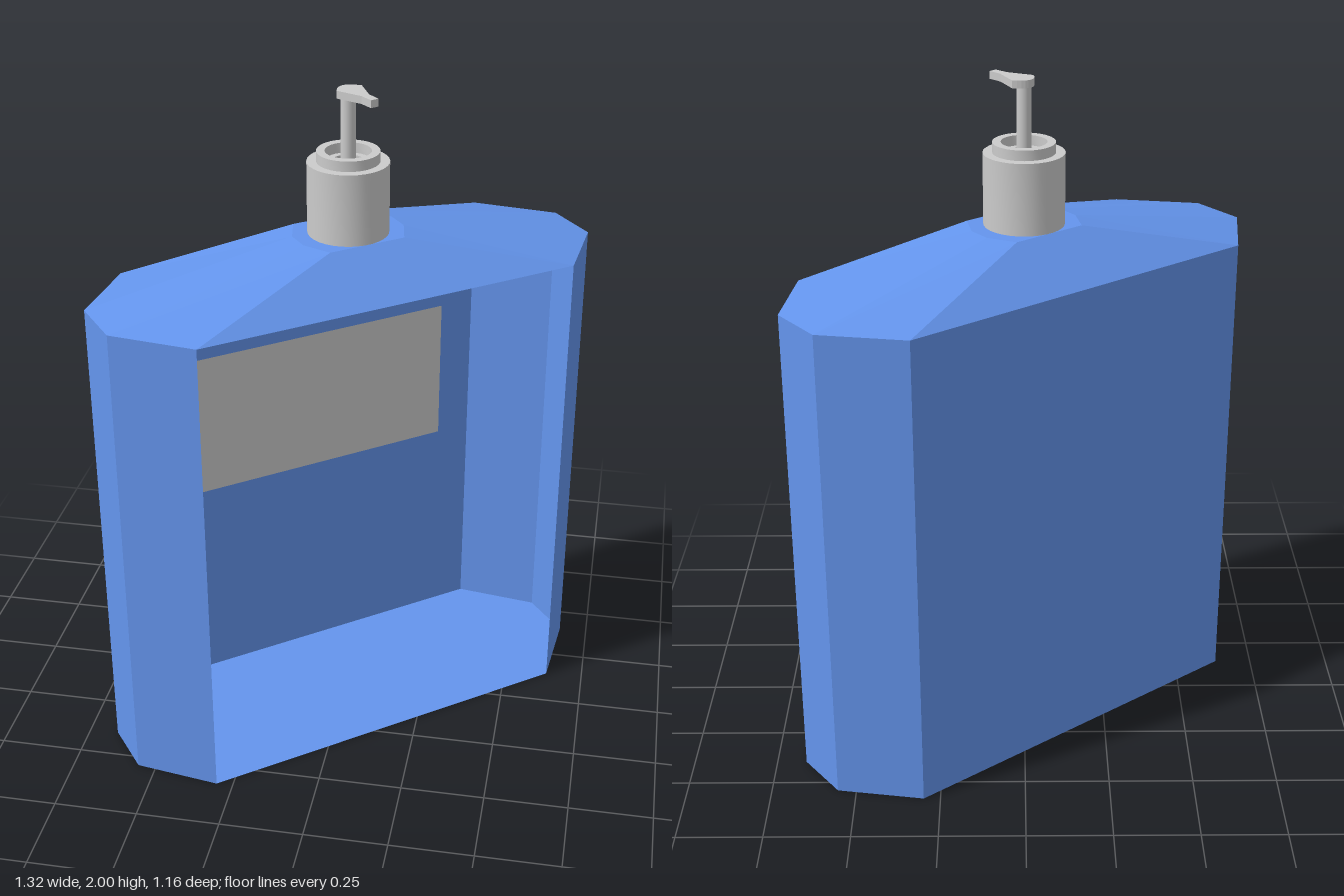
import * as THREE from 'three';
import { toCreasedNormals } from 'three/addons/utils/BufferGeometryUtils.js';

const blue = new THREE.MeshStandardMaterial({ color: 0x6495ed, side: THREE.DoubleSide, flatShading: true });
const grey = new THREE.MeshStandardMaterial({ color: 0xcccccc, side: THREE.DoubleSide });

// Eight-sided ring: chamfered rectangle at height y, starting at the front right corner
function ring(longSide, end, front, endHalf, y) {
  return [
    [longSide, front], [end, endHalf], [end, -endHalf], [longSide, -front],
    [-longSide, -front], [-end, -endHalf], [-end, endHalf], [-longSide, front],
  ].map(([x, z]) => [x, y, z]);
}

function facesGeometry(faces) {
  const positions = [];
  for (const face of faces)
    for (let i = 1; i < face.length - 1; i++) positions.push(...face[0], ...face[i], ...face[i + 1]);
  const geometry = new THREE.BufferGeometry();
  geometry.setAttribute('position', new THREE.Float32BufferAttribute(positions, 3));
  geometry.computeVertexNormals();
  return geometry;
}

// Side faces between two rings, skipping the listed edges
function band(low, high, skip = []) {
  const faces = [];
  for (let i = 0; i < 8; i++) {
    const j = (i + 1) % 8;
    if (!skip.includes(i)) faces.push([low[i], low[j], high[j], high[i]]);
  }
  return faces;
}

function add(parent, name, geometry, material) {
  const mesh = new THREE.Mesh(geometry, material);
  mesh.name = name;
  parent.add(mesh);
  return mesh;
}

export function createModel() {
  const model = new THREE.Group();
  model.name = 'pumpBottle';

  // Bottle stands turned about the vertical axis
  const bottle = new THREE.Group();
  bottle.name = 'bottle';
  bottle.rotation.y = 0.656;
  model.add(bottle);

  const base = ring(0.59, 0.768, 0.276, 0.088, 0);
  const shoulder = ring(0.59, 0.768, 0.276, 0.088, 1.46);
  const top = ring(0.117, 0.16, 0.117, 0.036, 1.58);

  // The broad front wall is left open
  add(bottle, 'walls', facesGeometry(band(base, shoulder, [7])), blue);
  add(bottle, 'floor', facesGeometry([[...base].reverse()]), blue);
  add(bottle, 'shoulders', facesGeometry(band(shoulder, top)), blue);
  add(bottle, 'topPlate', facesGeometry([top]), blue);

  // Label lying against the inside of the back wall
  const label = add(bottle, 'label', new THREE.PlaneGeometry(0.976, 0.46), grey);
  label.position.set(-0.011, 0.9, -0.271);

  // Pump
  const pump = new THREE.Group();
  pump.name = 'pump';
  pump.rotation.y = -Math.PI / 4;
  model.add(pump);

  // Collar with a stepped, recessed top
  const profile = [
    [0.117, 1.58], [0.117, 1.79], [0.09, 1.79], [0.09, 1.82],
    [0.066, 1.82], [0.066, 1.79], [0.047, 1.79], [0.047, 1.775], [0, 1.775],
  ].map(([x, y]) => new THREE.Vector2(x, y));
  add(pump, 'collar', toCreasedNormals(new THREE.LatheGeometry(profile, 32), 0.6), grey);

  const stem = add(pump, 'stem', new THREE.CylinderGeometry(0.021, 0.021, 0.21, 20), grey);
  stem.position.y = 1.88;

  // Head: thin plate, wide over the stem and tapering to the nozzle
  const outline = new THREE.Shape();
  outline.moveTo(0.124, -0.012);
  outline.lineTo(0.124, 0.012);
  outline.lineTo(0.08, 0.013);
  outline.lineTo(0.005, 0.042);
  outline.quadraticCurveTo(-0.058, 0, 0.005, -0.042);
  outline.lineTo(0.08, -0.013);
  outline.closePath();
  const head = add(pump, 'nozzleHead',
    new THREE.ExtrudeGeometry(outline, { depth: 0.022, bevelEnabled: false, curveSegments: 10 }), grey);
  head.rotation.x = -Math.PI / 2;
  head.position.y = 1.978;

  return model;
}
